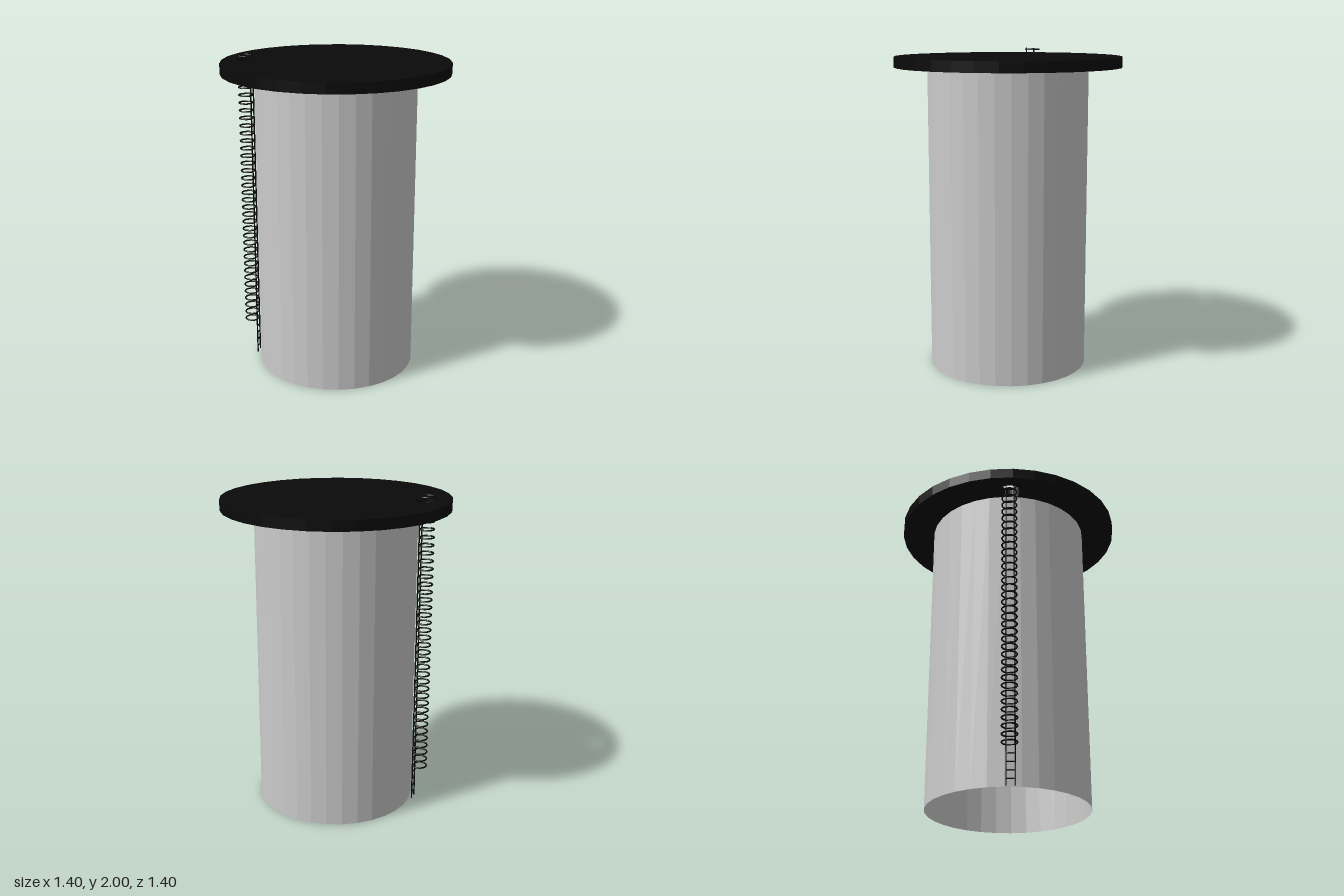
import * as THREE from 'three';

const grey = new THREE.MeshStandardMaterial({ color: 0xcccccc, flatShading: true, side: THREE.DoubleSide });
const black = new THREE.MeshStandardMaterial({ color: 0x0a0a0a, flatShading: true });

function add(parent, name, geometry, material, x = 0, y = 0, z = 0) {
  const mesh = new THREE.Mesh(geometry, material);
  mesh.name = name;
  mesh.position.set(x, y, z);
  parent.add(mesh);
  return mesh;
}

// Points of a regular polygon in the ground plane (x, z)
function ring(cx, cz, radius, sides, offset = 0) {
  return Array.from({ length: sides }, (_, i) => {
    const a = offset + (i / sides) * Math.PI * 2;
    return new THREE.Vector2(cx + radius * Math.cos(a), cz + radius * Math.sin(a));
  });
}

export function createModel() {
  const model = new THREE.Group();
  model.name = 'towerWithLadder';

  // Hollow shaft, open at the bottom
  add(model, 'shaft', new THREE.CylinderGeometry(0.5, 0.5, 1.9, 32, 1, true), grey, 0, 0.95, 0);

  // Platform disc with a round hatch for the ladder
  const disc = new THREE.Shape(ring(0, 0, 0.705, 32, -0.085));
  disc.holes.push(new THREE.Path(ring(-0.441, 0.335, 0.068, 32).reverse()));
  const discGeometry = new THREE.ExtrudeGeometry(disc, { depth: 0.065, bevelEnabled: false });
  discGeometry.rotateX(Math.PI / 2);
  add(model, 'platform', discGeometry, black, 0, 1.965, 0);

  // Ladder beside the shaft, running up through the hatch
  const ladder = new THREE.Group();
  ladder.name = 'ladder';
  model.add(ladder);
  const railA = new THREE.Vector3(-0.427, 0, 0.296);
  const railB = new THREE.Vector3(-0.401, 0, 0.341);
  for (const p of [railA, railB]) {
    add(ladder, 'rail', new THREE.CylinderGeometry(0.0045, 0.0045, 2, 8), black, p.x, 1, p.z);
  }

  // Rungs between the rails, with safety hoops above the lowest four
  const span = railB.clone().sub(railA);
  const middle = railA.clone().add(railB).multiplyScalar(0.5);
  const rungGeometry = new THREE.CylinderGeometry(0.004, 0.004, span.length(), 6);
  const hoopGeometry = new THREE.TorusGeometry(0.045, 0.005, 6, 24, THREE.MathUtils.degToRad(292));
  hoopGeometry.rotateZ(THREE.MathUtils.degToRad(5));
  hoopGeometry.rotateX(Math.PI / 2);
  const up = new THREE.Vector3(0, 1, 0);
  for (let i = 0; i <= 40; i++) {
    const y = 0.04 + i * 0.04875;
    const rung = add(ladder, 'rung', rungGeometry, black, middle.x, y, middle.z);
    rung.quaternion.setFromUnitVectors(up, span.clone().normalize());
    if (i >= 4) add(ladder, 'safetyHoop', hoopGeometry, black, -0.448, y, 0.337);
  }
  return model;
}
